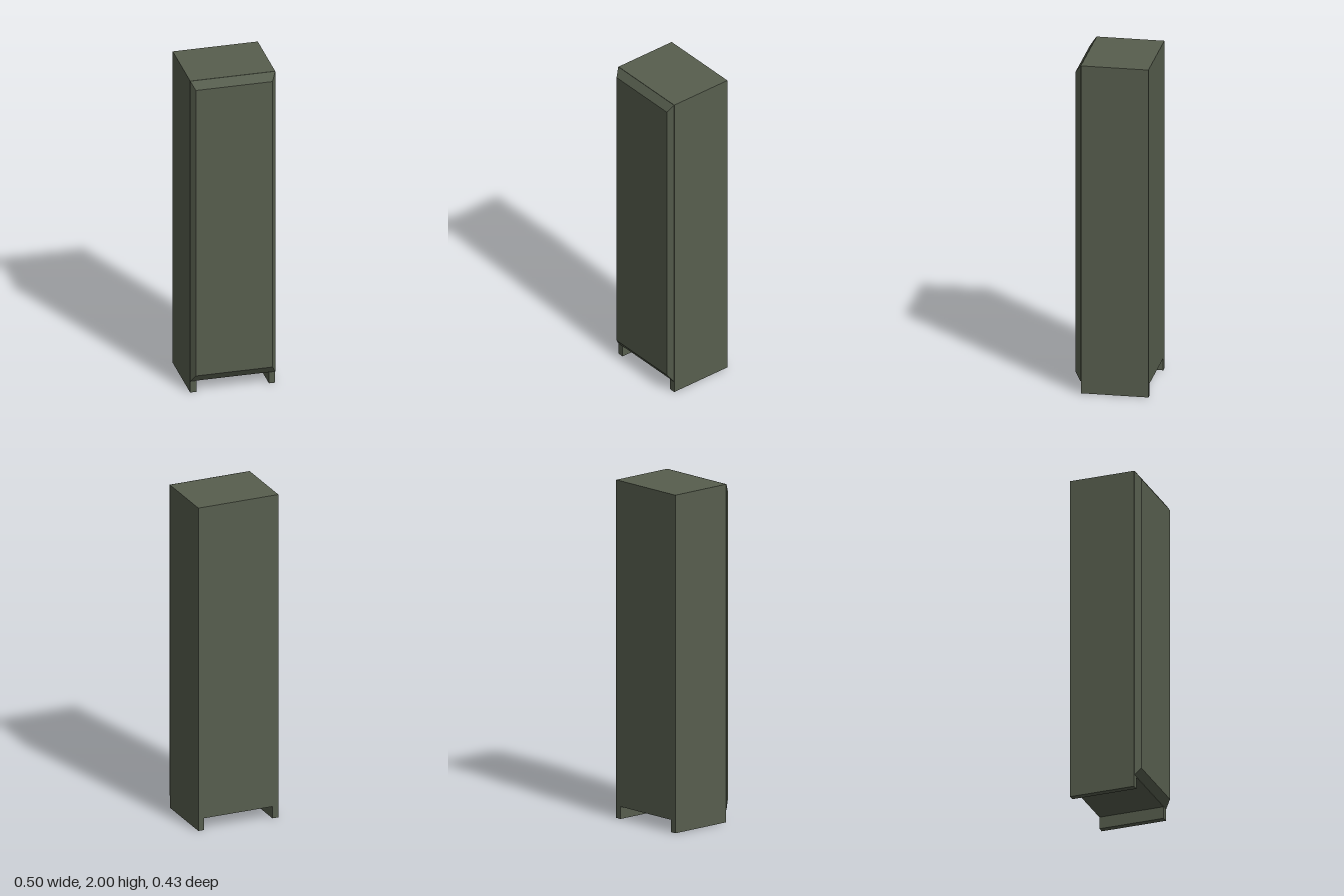
import * as THREE from 'three';

const HALF_W = 0.2525, HEIGHT = 2, BASE = 0.073, PANEL = 0.037;
const BACK = -0.215, BODY_FRONT = 0.18, DOOR_BACK = 0.182, DOOR_FRONT = 0.215;

// Carcass: solid cabinet whose side panels run down to the floor as feet
function carcassGeometry() {
  const inner = HALF_W - PANEL;
  const outline = new THREE.Shape([
    [-HALF_W, 0], [-inner, 0], [-inner, BASE], [inner, BASE],
    [inner, 0], [HALF_W, 0], [HALF_W, HEIGHT], [-HALF_W, HEIGHT],
  ].map(([x, y]) => new THREE.Vector2(x, y)));
  const geometry = new THREE.ExtrudeGeometry(outline, { depth: BODY_FRONT - BACK, bevelEnabled: false });
  return geometry.translate(0, 0, BACK);
}

// Door: a slab whose front face is drawn in to leave sloping edges all round
function doorGeometry() {
  const w = HALF_W * 2, h = HEIGHT - BASE, d = DOOR_FRONT - DOOR_BACK;
  const insetX = 0.025, insetY = 0.047;
  const geometry = new THREE.BoxGeometry(w, h, d);
  const p = geometry.attributes.position;
  for (let i = 0; i < p.count; i++) {
    if (p.getZ(i) < 0) continue;
    p.setX(i, p.getX(i) - Math.sign(p.getX(i)) * insetX);
    p.setY(i, p.getY(i) - Math.sign(p.getY(i)) * insetY);
  }
  geometry.computeVertexNormals();
  return geometry.translate(0, BASE + h / 2, DOOR_BACK + d / 2);
}

export function createModel() {
  const paint = new THREE.MeshStandardMaterial({ color: 0x575e4e });
  paint.name = 'olive paint';

  const model = new THREE.Group();
  model.name = 'tall cabinet';
  const add = (name, geometry) => {
    const mesh = new THREE.Mesh(geometry, paint);
    mesh.name = name;
    model.add(mesh);
  };
  add('carcass', carcassGeometry());
  add('door', doorGeometry());
  return model;
}
